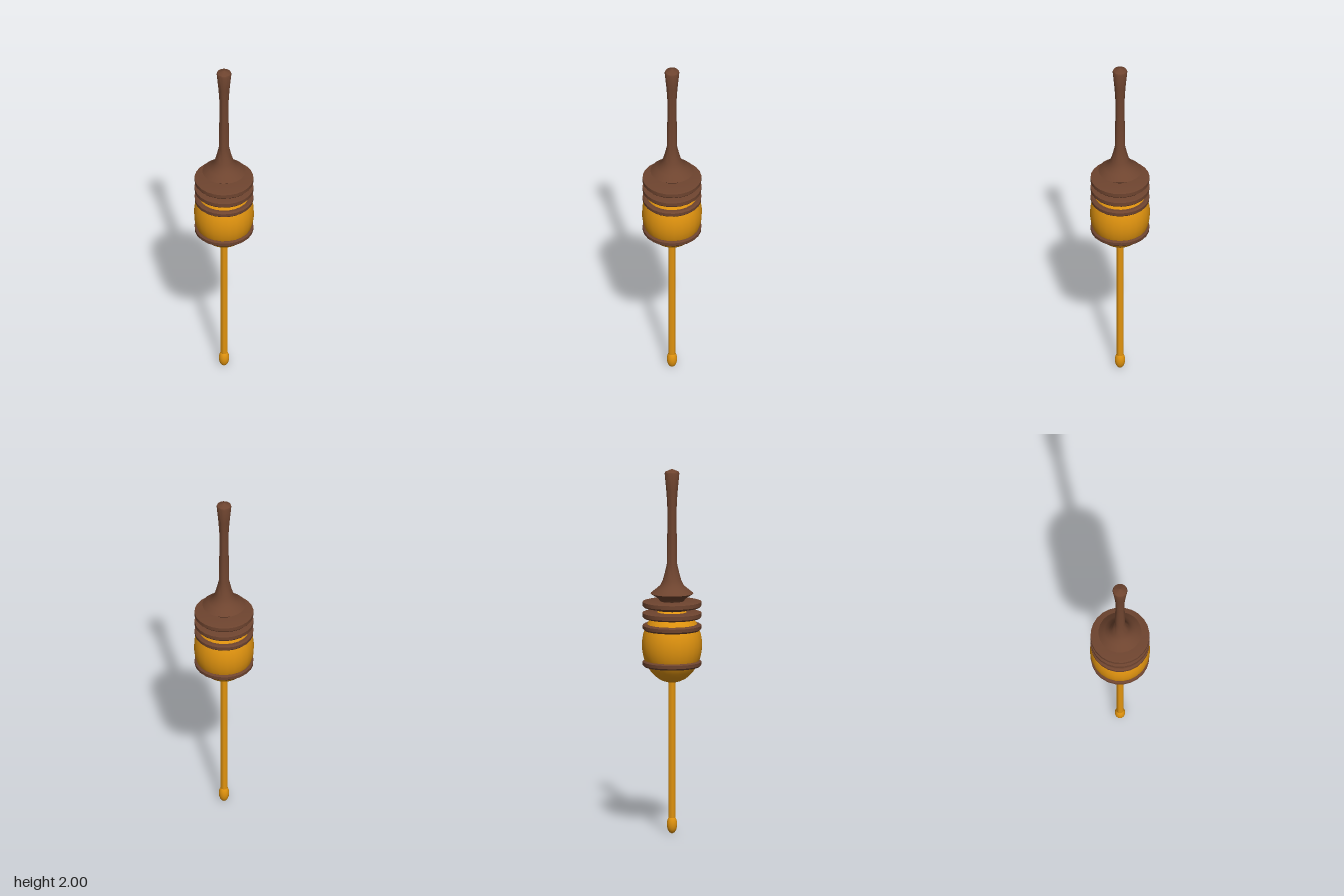
import * as THREE from 'three';
import { toCreasedNormals } from 'three/addons/utils/BufferGeometryUtils.js';

const wood = new THREE.MeshStandardMaterial({ color: 0x6e442f });
wood.name = 'brownWood';
const honey = new THREE.MeshStandardMaterial({ color: 0xe0930f });
honey.name = 'amberHoney';

export function createModel() {
  const model = new THREE.Group();

  // Turned part: [radius, height] pairs listed from bottom to top
  const turn = (name, material, profile) => {
    const points = profile.map(([r, y]) => new THREE.Vector2(r, y));
    const geometry = toCreasedNormals(new THREE.LatheGeometry(points, 24), 0.6);
    const mesh = new THREE.Mesh(geometry, material);
    mesh.name = name;
    model.add(mesh);
  };

  const ellipsoid = (name, y, rx, ry) => {
    const mesh = new THREE.Mesh(new THREE.SphereGeometry(1, 24, 20), honey);
    mesh.name = name;
    mesh.scale.set(rx, ry, rx);
    mesh.position.y = y;
    model.add(mesh);
  };

  // Handle with flared foot and domed end
  turn('handle', wood, [
    [0, 1.27], [0.065, 1.275], [0.075, 1.29], [0.117, 1.317], [0.085, 1.343],
    [0.065, 1.36], [0.05, 1.39], [0.039, 1.43], [0.028, 1.478], [0.027, 1.62],
    [0.024, 1.68], [0.026, 1.81], [0.031, 1.88], [0.04, 1.975], [0.037, 1.983], [0, 2],
  ]);

  // Neck between the discs
  turn('neck', wood, [[0, 1.19], [0.06, 1.19], [0.06, 1.28], [0, 1.28]]);

  // Grooved discs, bevelled underneath
  for (const [name, y] of [['upperDisc', 1.258], ['lowerDisc', 1.198]]) {
    turn(name, wood, [
      [0, y - 0.031], [0.09, y - 0.031], [0.11, y - 0.022], [0.153, y - 0.016],
      [0.16, y - 0.008], [0.16, y + 0.013], [0.145, y + 0.017], [0, y + 0.017],
    ]);
  }

  // Honey body and the rings around it
  ellipsoid('honeyBody', 1.035, 0.163, 0.207);
  for (const [name, y] of [['upperRing', 1.133], ['lowerRing', 0.934]]) {
    turn(name, wood, [
      [0.12, y - 0.018], [0.15, y - 0.018], [0.159, y - 0.009],
      [0.16, y + 0.009], [0.15, y + 0.016], [0.12, y + 0.016],
    ]);
  }

  // Falling thread of honey and the drop at its end
  turn('honeyThread', honey, [[0.019, 0.06], [0.019, 0.85]]);
  ellipsoid('honeyDrop', 0.05, 0.028, 0.05);

  return model;
}
